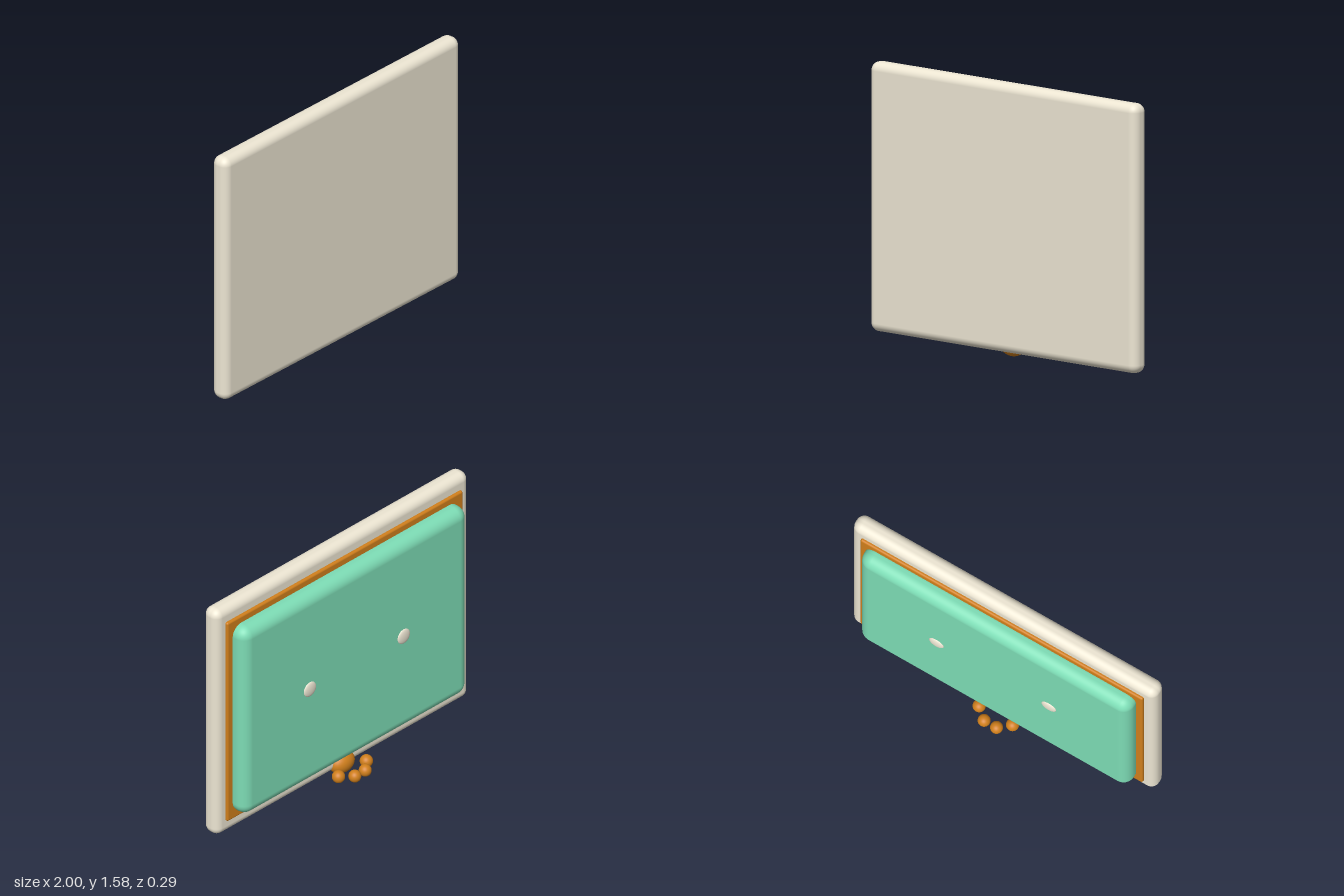
import * as THREE from 'three';
import { RoundedBoxGeometry } from 'three/addons/geometries/RoundedBoxGeometry.js';

const material = (color) => new THREE.MeshStandardMaterial({ color });

export function createModel() {
  const model = new THREE.Group();
  const cream = material(0xede6d3);
  const orange = material(0xd07f1c);
  const green = material(0x7ddcb5);
  const midY = 0.806;

  // Rounded slab, given its extents and its z range
  function slab(name, width, height, zMin, zMax, radius, mat) {
    const mesh = new THREE.Mesh(new RoundedBoxGeometry(width, height, zMax - zMin, 6, radius), mat);
    mesh.name = name;
    mesh.position.set(0, midY, (zMin + zMax) / 2);
    model.add(mesh);
  }

  // Sphere stretched to the given radii
  function blob(name, parent, position, radii, mat) {
    const mesh = new THREE.Mesh(new THREE.SphereGeometry(1, 32, 20), mat);
    mesh.name = name;
    mesh.position.set(...position);
    mesh.scale.set(...radii);
    parent.add(mesh);
  }

  // Layered panel: front board, thin trim, raised back cushion
  slab('frontBoard', 2, 1.55, 0.03, 0.145, 0.05, cream);
  slab('trim', 1.86, 1.37, 0.012, 0.06, 0.012, orange);
  slab('backCushion', 1.78, 1.285, -0.08, 0.07, 0.07, green);

  // Two flattened buttons on the back
  for (const side of [-1, 1]) {
    blob(side > 0 ? 'leftButton' : 'rightButton', model,
      [side * 0.37, 0.81, -0.08], [0.048, 0.048, 0.013], cream);
  }

  // Paw at the lower edge: one pad and four toes
  const paw = new THREE.Group();
  paw.name = 'paw';
  blob('pawPad', paw, [0, 0.066, 0.042], [0.085, 0.066, 0.062], orange);
  for (const side of [-1, 1]) {
    blob('outerToe', paw, [side * 0.11, 0.06, -0.045], [0.038, 0.038, 0.038], orange);
    blob('innerToe', paw, [side * 0.041, 0.06, -0.106], [0.037, 0.037, 0.037], orange);
  }
  model.add(paw);

  return model;
}
